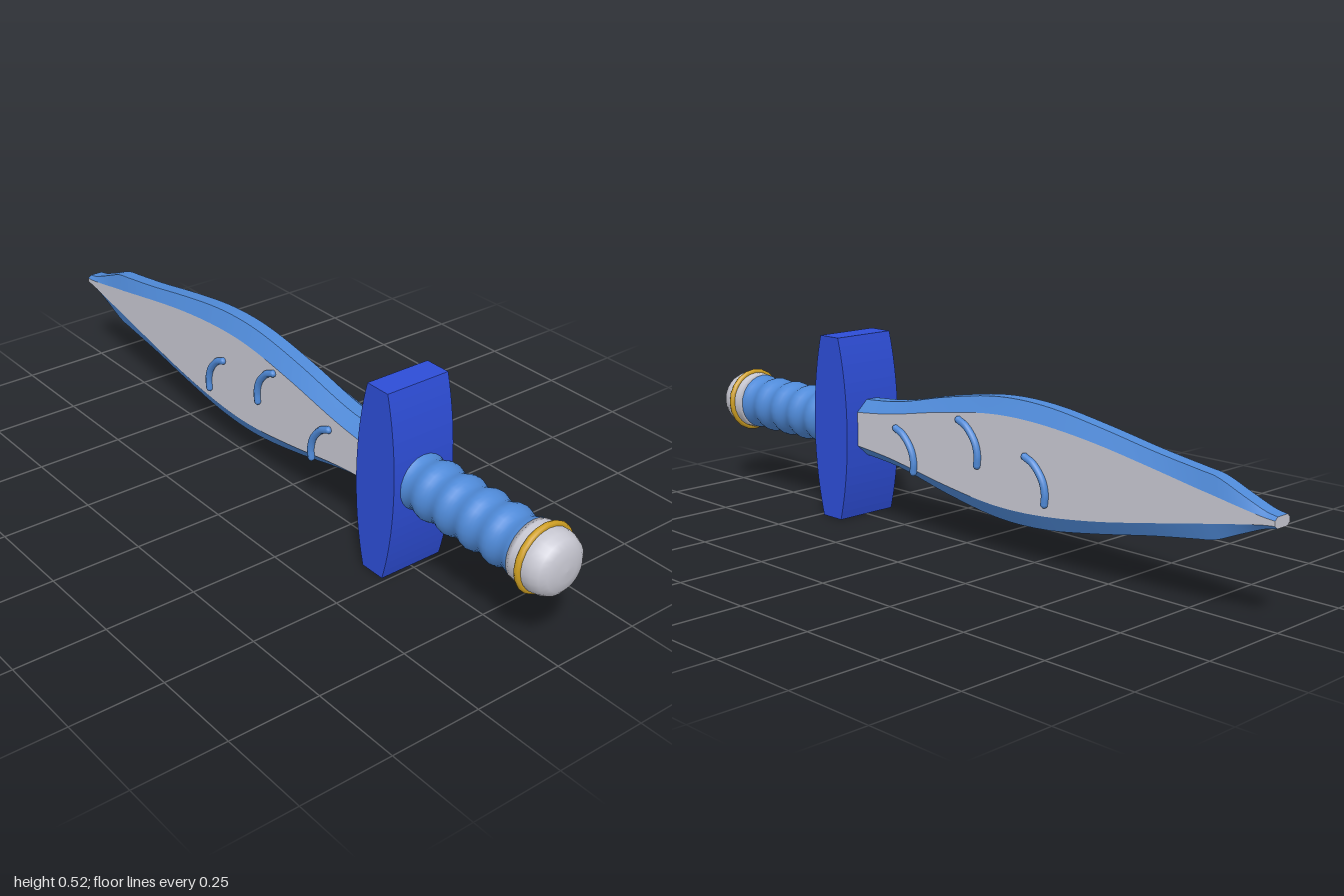
import * as THREE from 'three';
import { mergeGeometries } from 'three/addons/utils/BufferGeometryUtils.js';

const AXIS_Y = 0.262;

function material(name, color, side = THREE.FrontSide) {
  const m = new THREE.MeshStandardMaterial({ color, side });
  m.name = name;
  return m;
}

export function createModel() {
  const blue = material('sky blue', 0x4f8ad8);
  const navy = material('royal blue', 0x2d4dd6);
  const silver = material('silver grey', 0xc8c8d2);
  const gold = material('gold', 0xd0a022);

  const group = new THREE.Group();
  const add = (name, geometry, mat, y = AXIS_Y, z = 0) => {
    const mesh = new THREE.Mesh(geometry, mat);
    mesh.name = name;
    mesh.position.set(0, y, z);
    group.add(mesh);
    return mesh;
  };

  // Blade outline: x = half height of the edge, y = half height of the flat, z = station
  const outline = new THREE.CatmullRomCurve3([
    [0.078, 0.046, 0.4], [0.092, 0.062, 0.25], [0.132, 0.095, 0.06], [0.158, 0.117, -0.1],
    [0.164, 0.122, -0.2], [0.158, 0.117, -0.32], [0.134, 0.098, -0.48], [0.103, 0.068, -0.65],
    [0.083, 0.043, -0.78], [0.075, 0.034, -0.83], [0.043, 0.019, -0.91], [0.02, 0.009, -0.97], [0.014, 0.006, -1],
  ].map((p) => new THREE.Vector3(...p)));
  const stations = outline.getPoints(60);
  const thickness = (z) => 0.029 + (z + 1) * 0.0193;

  // Eight corners of the blade's cross-section, counter-clockwise
  function section({ x: H, y: h, z }) {
    const t = thickness(z), e = 0.019;
    return [[t, h], [e, H], [-e, H], [-t, h], [-t, -h], [-e, -H], [e, -H], [t, -h]];
  }

  // One lengthwise strip of the blade between corners j and j + 1
  function strip(j) {
    const pos = [], index = [];
    stations.forEach((s, i) => {
      const c = section(s);
      pos.push(...c[j], s.z, ...c[(j + 1) % 8], s.z);
      if (i > 0) {
        const a = 2 * (i - 1);
        index.push(a, a + 2, a + 1, a + 1, a + 2, a + 3);
      }
    });
    const g = new THREE.BufferGeometry();
    g.setAttribute('position', new THREE.Float32BufferAttribute(pos, 3));
    g.setIndex(index);
    g.computeVertexNormals();
    return g;
  }
  add('bladeEdges', mergeGeometries([0, 1, 2, 4, 5, 6].map(strip)), blue);
  add('bladeFlats', mergeGeometries([3, 7].map(strip)), silver);

  // Blunt tip
  const tipShape = new THREE.Shape(section(stations.at(-1)).map((p) => new THREE.Vector2(...p)));
  add('bladeTip', new THREE.ShapeGeometry(tipShape).rotateY(Math.PI), silver, AXIS_Y, -1);

  // Raised crescents on both flats: upper end at (y, z)
  [[0.29, 0.22], [0.35, -0.02], [0.29, -0.255]].forEach(([y, z], i) => {
    for (const side of [1, -1]) {
      const x = side * (thickness(z - 0.04) + 0.004);
      const path = new THREE.CatmullRomCurve3([
        [x, y, z], [x, y - 0.014, z - 0.03], [x, y - 0.05, z - 0.061], [x, y - 0.085, z - 0.071], [x, y - 0.112, z - 0.069],
      ].map((p) => new THREE.Vector3(...p)));
      const parts = [new THREE.TubeGeometry(path, 16, 0.01, 8)];
      for (const end of [0, 1]) {
        const p = path.getPoint(end);
        parts.push(new THREE.SphereGeometry(0.01, 8, 6).translate(p.x, p.y, p.z));
      }
      add(`${side > 0 ? 'left' : 'right'}Crescent${i + 1}`, mergeGeometries(parts), blue, 0);
    }
  });

  // Guard: a barrel-sided slab, drawn in (z, y) and extruded across x
  const guardShape = new THREE.Shape();
  guardShape.moveTo(-0.037, 0);
  guardShape.lineTo(0.037, 0);
  guardShape.bezierCurveTo(0.082, 0.16, 0.082, 0.36, 0.037, 0.52);
  guardShape.lineTo(-0.037, 0.52);
  guardShape.bezierCurveTo(-0.082, 0.36, -0.082, 0.16, -0.037, 0);
  const guard = new THREE.ExtrudeGeometry(guardShape, { depth: 0.19, bevelEnabled: false, curveSegments: 20 });
  guard.translate(0, 0, -0.095).rotateY(-Math.PI / 2);
  add('guard', guard, navy, 0, 0.45);

  // Ribbed grip
  const lathe = (points) => new THREE.LatheGeometry(points.map((p) => new THREE.Vector2(...p)), 24).rotateX(Math.PI / 2);
  const grip = [];
  for (let i = 0; i <= 40; i++) {
    grip.push([0.075 + 0.005 * Math.cos((i / 40) * Math.PI * 10), 0.5 + (i / 40) * 0.39]);
  }
  add('grip', lathe(grip), blue);

  // Domed pommel with its ring
  add('pommel', lathe([
    [0, 0.885], [0.08, 0.886], [0.082, 0.9], [0.083, 0.945], [0.08, 0.962], [0.072, 0.98], [0.056, 0.992], [0.03, 0.998], [0, 1],
  ]), silver);
  add('pommelRing', new THREE.TorusGeometry(0.084, 0.009, 8, 20), gold, AXIS_Y, 0.928);

  return group;
}
